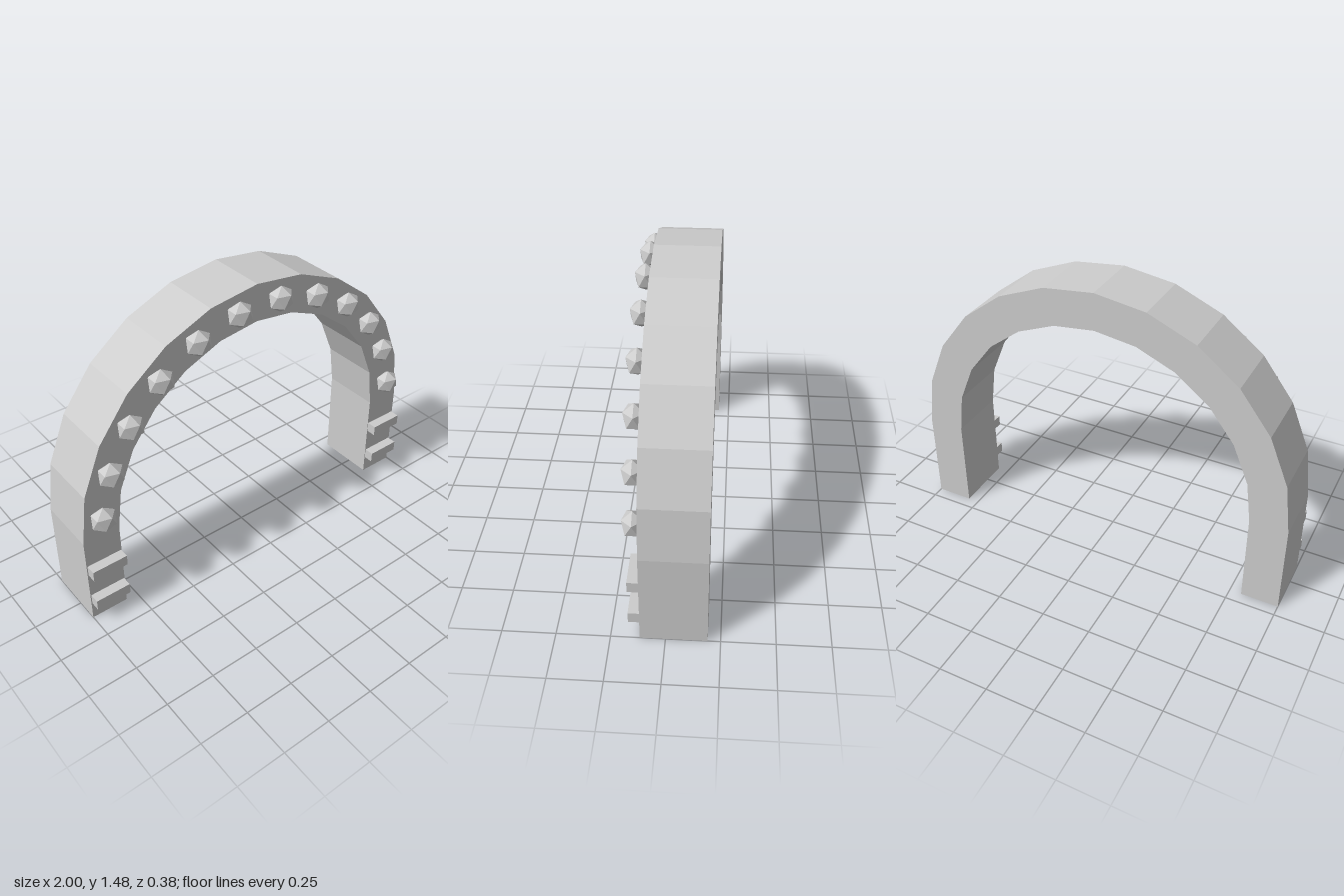
import * as THREE from 'three';

const SPRING = 0.48;            // height where the curve starts
const OUTER = 1, INNER = 0.81;  // arch radii
const FRONT = 0.117, BACK = -0.191;
const STEPS = 12;

// Icosahedron standing on a vertex, slightly flattened front to back
function studGeometry(radius, zScale) {
  const ring = Math.sqrt(0.8) * radius, h = Math.sqrt(0.2) * radius;
  const pos = [0, radius, 0];
  for (const [y, offset] of [[h, 0], [-h, Math.PI / 5]]) {
    for (let i = 0; i < 5; i++) {
      const a = offset + i * Math.PI * 2 / 5;
      pos.push(Math.cos(a) * ring, y, Math.sin(a) * ring * zScale);
    }
  }
  pos.push(0, -radius, 0);
  const faces = [];
  for (let i = 0; i < 5; i++) {
    const j = (i + 1) % 5;
    const u = 1 + i, v = 1 + j, l = 6 + i, m = 6 + j;
    faces.push(0, v, u, u, v, l, v, m, l, 11, l, m);
  }
  const g = new THREE.BufferGeometry();
  g.setAttribute('position', new THREE.Float32BufferAttribute(pos, 3));
  g.setIndex(faces);
  const flat = g.toNonIndexed();
  flat.computeVertexNormals();
  return flat;
}

export function createModel() {
  const model = new THREE.Group();
  model.name = 'archway';
  const stone = new THREE.MeshStandardMaterial({ color: 0xcccccc });
  stone.name = 'light grey';

  const add = (name, geometry, x, y, z) => {
    const mesh = new THREE.Mesh(geometry, stone);
    mesh.name = name;
    mesh.position.set(x, y, z);
    model.add(mesh);
  };

  // Arch: straight legs joined by a faceted half ring
  const arc = (r) => Array.from({ length: STEPS + 1 }, (_, i) => {
    const a = Math.PI * i / STEPS;
    return new THREE.Vector2(Math.cos(a) * r, SPRING + Math.sin(a) * r);
  });
  const outline = [
    new THREE.Vector2(OUTER, 0), ...arc(OUTER), new THREE.Vector2(-OUTER, 0),
    new THREE.Vector2(-INNER, 0), ...arc(INNER).reverse(), new THREE.Vector2(INNER, 0),
  ];
  add('arch', new THREE.ExtrudeGeometry(new THREE.Shape(outline), {
    depth: FRONT - BACK, bevelEnabled: false,
  }), 0, 0, BACK);

  // Faceted studs, one in the middle of each arch segment
  const stud = studGeometry(0.067, 0.83);
  const mid = (OUTER + INNER) / 2;
  for (let i = 0; i < STEPS; i++) {
    const a = Math.PI * (i + 0.5) / STEPS;
    add('stud', stud, Math.cos(a) * mid, SPRING + Math.sin(a) * mid, 0.144);
  }

  // Two raised bars on the front of each leg
  const bar = new THREE.BoxGeometry(0.182, 0.055, 0.055);
  for (const side of [-1, 1]) {
    for (const y of [0.122, 0.311]) add('legBar', bar, side * 0.904, y, 0.141);
  }
  return model;
}
